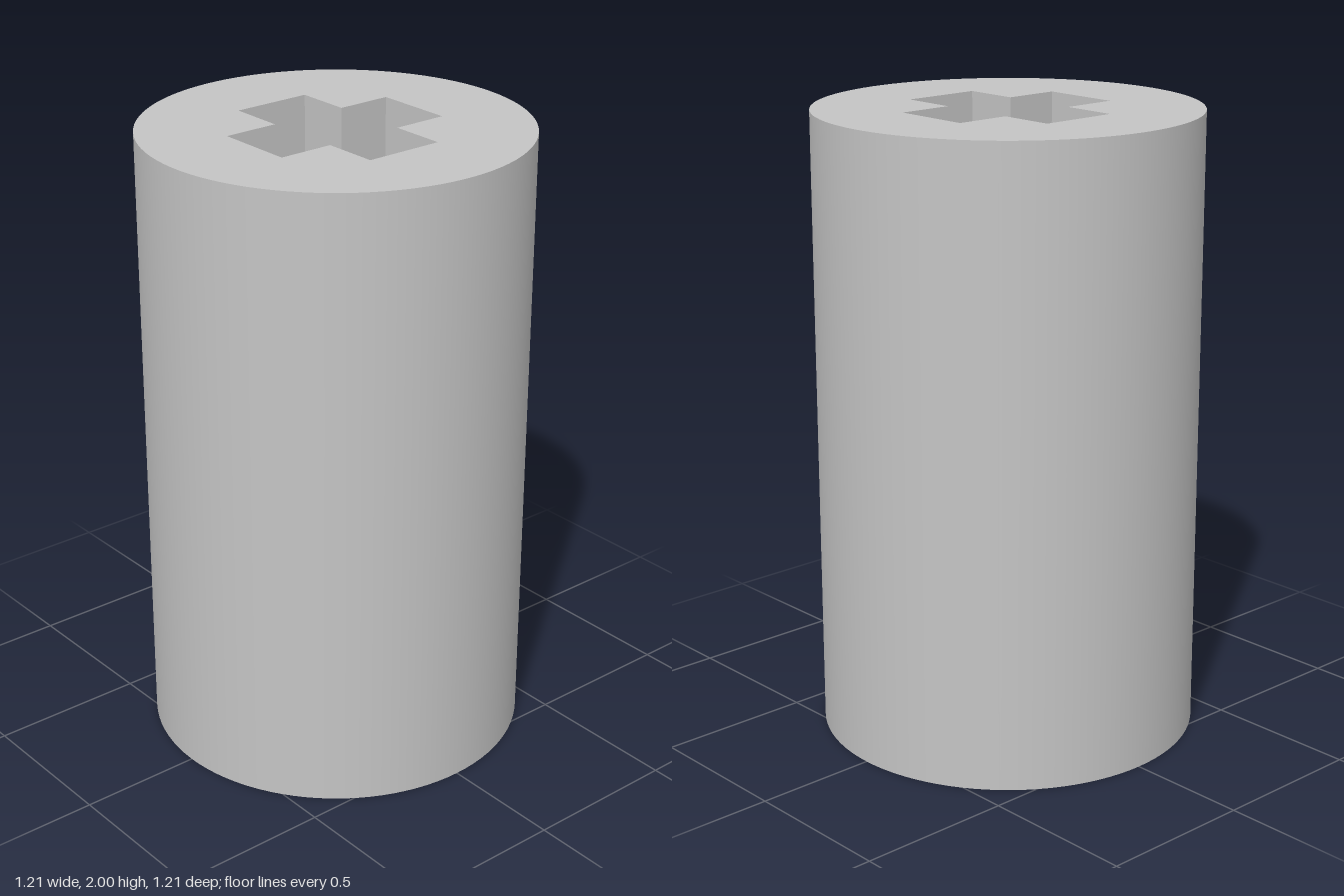
import * as THREE from 'three';
import { toCreasedNormals } from 'three/addons/utils/BufferGeometryUtils.js';

const HEIGHT = 2, RADIUS = 0.605, SEGMENTS = 96;
const POCKET_DEPTH = 0.95;

// Plus-shaped socket outline, counter-clockwise
function crossOutline(arm, half) {
  const corner = [[arm, -half], [arm, half], [half, half]];
  const points = [];
  for (let i = 0; i < 4; i++) {
    for (const [x, y] of corner) {
      points.push(new THREE.Vector2(x, y).rotateAround(new THREE.Vector2(), i * Math.PI / 2));
    }
  }
  // the inner corner of each quarter is shared with the next arm
  return points;
}

// Round socket outline with two flat sides at x = +-flat, counter-clockwise
function doubleFlatOutline(radius, flat, steps = 24) {
  const start = Math.acos(flat / radius);
  const points = [];
  for (const turn of [0, Math.PI]) {
    for (let i = 0; i <= steps; i++) {
      const a = turn + start + (Math.PI - 2 * start) * i / steps;
      points.push(new THREE.Vector2(radius * Math.cos(a), radius * Math.sin(a)));
    }
  }
  return points;
}

// Inward-facing walls along an outline between two heights
function pocketWalls(outline, low, high) {
  const positions = [];
  outline.forEach((p, i) => {
    const q = outline[(i + 1) % outline.length];
    positions.push(
      q.x, low, -q.y, p.x, low, -p.y, p.x, high, -p.y,
      q.x, low, -q.y, p.x, high, -p.y, q.x, high, -q.y);
  });
  const geometry = new THREE.BufferGeometry();
  geometry.setAttribute('position', new THREE.Float32BufferAttribute(positions, 3));
  return toCreasedNormals(geometry, Math.PI / 6);
}

// Flat horizontal face, looking up (1) or down (-1)
function flatFace(shape, y, facing) {
  return new THREE.ShapeGeometry(shape, SEGMENTS / 2).rotateX(-facing * Math.PI / 2).translate(0, y, 0);
}

export function createModel() {
  const group = new THREE.Group();
  group.name = 'shaftCoupler';
  const grey = new THREE.MeshStandardMaterial({ color: 0xc4c4c4 });
  grey.name = 'light grey';

  const add = (name, geometry) => {
    const mesh = new THREE.Mesh(geometry, grey);
    mesh.name = name;
    group.add(mesh);
  };

  // Outer round wall
  add('outerWall', new THREE.CylinderGeometry(RADIUS, RADIUS, HEIGHT, SEGMENTS, 1, true)
    .translate(0, HEIGHT / 2, 0));

  // Each end: a rim with a hole, the socket walls and the socket floor
  const ends = [
    { name: 'crossSocket', outline: crossOutline(0.31, 0.13), y: HEIGHT, facing: 1 },
    { name: 'doubleFlatSocket', outline: doubleFlatOutline(0.342, 0.235), y: 0, facing: -1 },
  ];
  for (const { name, outline, y, facing } of ends) {
    const floorY = y - facing * POCKET_DEPTH;
    const rim = new THREE.Shape().absarc(0, 0, RADIUS, 0, Math.PI * 2);
    rim.holes.push(new THREE.Path(outline));
    add(name + 'Rim', flatFace(rim, y, facing));
    add(name + 'Walls', pocketWalls(outline, Math.min(y, floorY), Math.max(y, floorY)));
    add(name + 'Floor', flatFace(new THREE.Shape(outline), floorY, facing));
  }
  return group;
}
